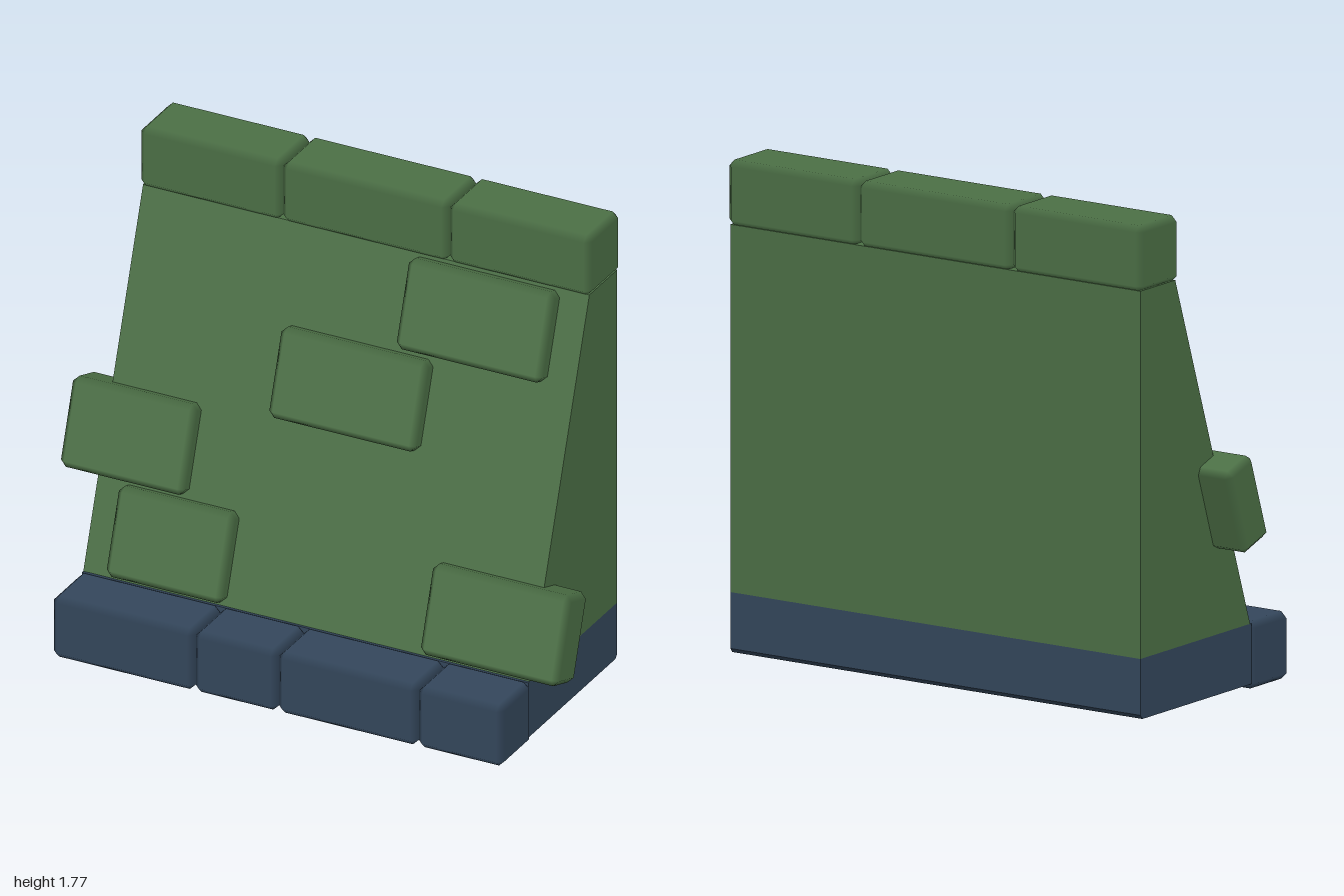
import * as THREE from 'three';
import { ConvexGeometry } from 'three/addons/geometries/ConvexGeometry.js';

const green = new THREE.MeshStandardMaterial({ color: 0x4c7046 });
green.name = 'mossGreen';
const blue = new THREE.MeshStandardMaterial({ color: 0x34475c });
blue.name = 'slateBlue';

// Box with chamfered edges; each corner keeps its flat face's normal, so the chamfers shade softly
function chamferBox(w, h, d, c = 0.022) {
  const half = [w / 2, h / 2, d / 2];
  const points = [];
  for (let axis = 0; axis < 3; axis++)
    for (const sx of [-1, 1]) for (const sy of [-1, 1]) for (const sz of [-1, 1]) {
      const p = [sx, sy, sz].map((s, i) => s * (half[i] - (i === axis ? 0 : c)));
      points.push(new THREE.Vector3(...p));
    }
  const geometry = new ConvexGeometry(points);
  const pos = geometry.attributes.position;
  const normal = geometry.attributes.normal;
  for (let i = 0; i < pos.count; i++) {
    const p = [pos.getX(i), pos.getY(i), pos.getZ(i)];
    const n = p.map((v, k) => (Math.abs(Math.abs(v) - half[k]) < 1e-4 ? Math.sign(v) : 0));
    normal.setXYZ(i, ...n);
  }
  return geometry;
}

// Side profile of [z, y] points, extruded along x
function prism(profile, width) {
  const shape = new THREE.Shape(profile.map(([z, y]) => new THREE.Vector2(z, y)));
  return new THREE.ExtrudeGeometry(shape, { depth: width, bevelEnabled: false })
    .translate(0, 0, -width / 2)
    .rotateY(-Math.PI / 2);
}

export function createModel() {
  const model = new THREE.Group();
  model.name = 'slopedWall';

  const add = (name, geometry, material, x, y, z, tilt = 0) => {
    const mesh = new THREE.Mesh(geometry, material);
    mesh.name = name;
    mesh.position.set(x, y, z);
    mesh.rotation.x = tilt;
    model.add(mesh);
  };

  // Row of stones lying between consecutive x positions
  const stoneRow = (name, joints, material, y0, y1, z0, z1) => {
    for (let i = 0; i < joints.length - 1; i++) {
      const [a, b] = [joints[i], joints[i + 1]];
      add(name + (i + 1), chamferBox(b - a - 0.002, y1 - y0, z1 - z0), material,
        (a + b) / 2, (y0 + y1) / 2, (z0 + z1) / 2);
    }
  };

  // Sloping body and the footing below it
  add('wallBody', prism([[0.22, 0.235], [-0.225, 1.54], [-0.432, 1.54], [-0.432, 0.235]], 1.74), green, 0.005, 0, 0);
  add('footing', prism([[0.23, 0.02], [0.23, 0.235], [-0.432, 0.235], [-0.432, 0.035], [-0.42, 0.02]], 1.74), blue, 0.005, 0, 0);

  // Coping stones on top, plinth stones along the front
  stoneRow('copingStone', [-0.875, -0.32, 0.33, 0.885], green, 1.535, 1.77, -0.445, -0.207);
  stoneRow('plinthStone', [-0.875, -0.32, 0.005, 0.55, 0.885], blue, 0, 0.24, 0.218, 0.445);

  // Slabs set into the slope: left edge, right edge, centre height
  const slabs = [
    [-0.765, -0.31, 0.39],
    [0.46, 1.0, 0.39],
    [-1.0, -0.515, 0.712],
    [-0.245, 0.33, 1.04],
    [0.195, 0.765, 1.367],
  ];
  slabs.forEach(([a, b, y], i) => {
    add('slab' + (i + 1), chamferBox(b - a, 0.325, 0.155), green,
      (a + b) / 2, y, 0.138 - 0.334 * (y - 0.39), -0.325);
  });

  return model;
}
